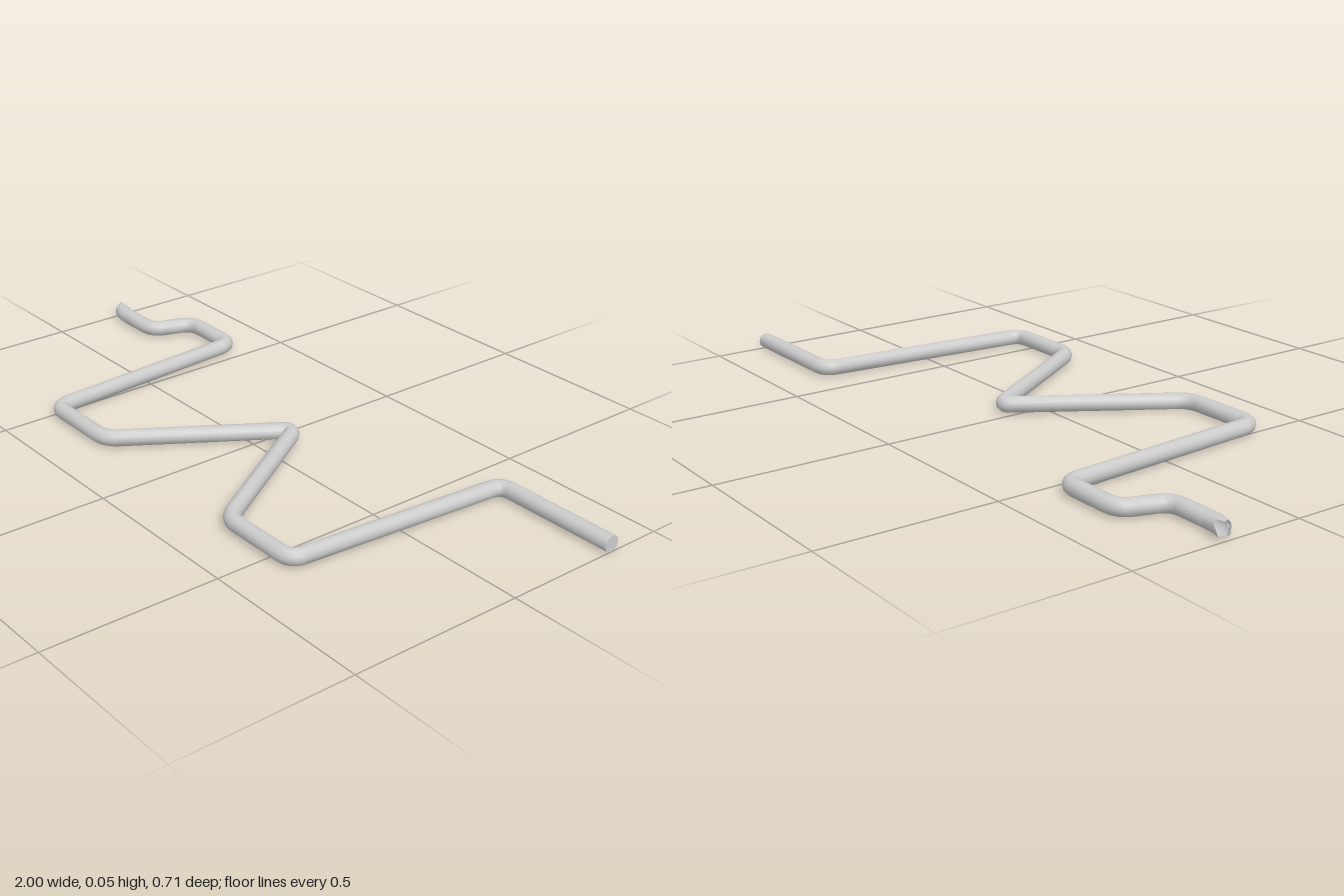
import * as THREE from 'three';

const RADIUS = 0.0235, SIDES = 12, HEIGHT = 0.024;

// Corner points of the bent bar as (x, z), from its frayed end to its closed end
const corners = [
  [-1, -0.232], [-0.955, -0.21], [-0.79, -0.21], [-0.75, -0.336], [-0.55, -0.336],
  [-0.495, 0.33], [-0.245, 0.33], [0.038, -0.117], [0.32, 0.33],
  [0.57, 0.33], [0.622, -0.338], [1, -0.338],
].map(([x, z]) => new THREE.Vector2(x, z));

// Straight runs joined by short rounded bends
function roundedPath(points, cut) {
  const path = [points[0]];
  for (let i = 1; i < points.length - 1; i++) {
    const p = points[i];
    const toward = (q) => p.clone().add(
      q.clone().sub(p).setLength(Math.min(cut, p.distanceTo(q) * 0.45)));
    const bend = new THREE.QuadraticBezierCurve(toward(points[i - 1]), p, toward(points[i + 1]));
    path.push(...bend.getPoints(6));
  }
  path.push(points[points.length - 1]);
  return path;
}

// Sweep a round section along the path, turning each ring with the bend
function sweep(path) {
  const positions = [], indices = [];
  path.forEach((p, i) => {
    const before = path[Math.max(i - 1, 0)], after = path[Math.min(i + 1, path.length - 1)];
    const t = after.clone().sub(before).normalize();
    const atEnd = i === path.length - 1;
    for (let j = 0; j < SIDES; j++) {
      const a = (j / SIDES) * Math.PI * 2;
      const side = Math.cos(a) * RADIUS;
      let x = p.x - t.y * side, z = p.y + t.x * side;
      if (atEnd) { x = p.x; z = p.y + side; }
      // Frayed end: notch the rim into uneven prongs
      if (i === 0) {
        const notch = 0.02 * (1 + Math.sin(a * 3 + 0.6));
        x = -1 + notch;
        z += notch * 0.4;
      }
      positions.push(x, HEIGHT + Math.sin(a) * RADIUS, z);
    }
  });
  for (let i = 0; i < path.length - 1; i++) {
    for (let j = 0; j < SIDES; j++) {
      const k = (j + 1) % SIDES;
      const a = i * SIDES + j, b = i * SIDES + k, c = a + SIDES, d = b + SIDES;
      indices.push(a, b, c, b, d, c);
    }
  }
  const geometry = new THREE.BufferGeometry();
  geometry.setAttribute('position', new THREE.Float32BufferAttribute(positions, 3));
  geometry.setIndex(indices);
  geometry.computeVertexNormals();
  return geometry;
}

export function createModel() {
  const group = new THREE.Group();
  group.name = 'bentBar';
  const material = new THREE.MeshStandardMaterial({ color: 0xcccccc, side: THREE.DoubleSide });

  // Zigzag bar, open at its frayed end
  const bar = new THREE.Mesh(sweep(roundedPath(corners, 0.04)), material);
  bar.name = 'bar';
  group.add(bar);

  // Flat cap on the closed end
  const cap = new THREE.Mesh(new THREE.CircleGeometry(RADIUS, SIDES), material);
  cap.name = 'endCap';
  cap.rotation.y = Math.PI / 2;
  cap.position.set(1, HEIGHT, -0.338);
  group.add(cap);

  return group;
}
